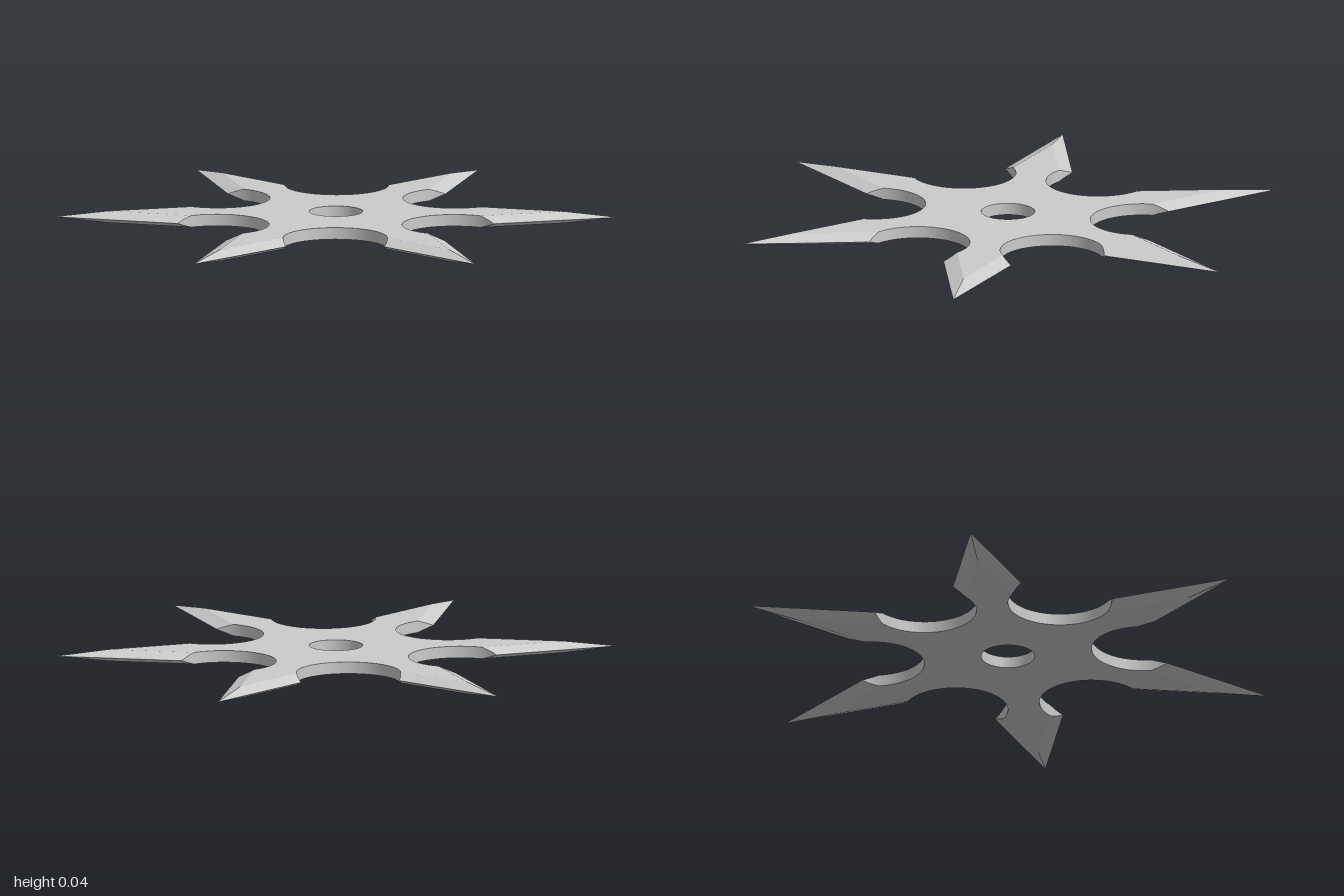
import * as THREE from 'three';
import { mergeGeometries } from 'three/addons/utils/BufferGeometryUtils.js';

const ARMS = 6;
const STEP = (Math.PI * 2) / ARMS;
const H = 0.021;            // half thickness
const NOTCH = 0.485;        // notch centre from the middle
const R = 0.1845;           // notch radius
const HOLE = 0.095;         // centre hole radius
const A_CORNER = 1.234;     // notch angle where the blade edge starts
const A_FLAT = Math.PI / 2; // notch angle where the flat face starts

const polar = (r, a) => new THREE.Vector2(r * Math.cos(a), r * Math.sin(a));
const onNotch = (a) => polar(R, a).add(new THREE.Vector2(NOTCH, 0));
const arc = (from, to, n, f = onNotch) =>
  Array.from({ length: n + 1 }, (_, i) => f(from + ((to - from) * i) / n));

// Blade edge runs from tip to corner; height grows with distance from it
const tip = polar(1, STEP / 2);
const corner = onNotch(A_CORNER);
const edge = corner.clone().sub(tip).normalize();
const edgeDistance = (p) => Math.abs(edge.cross(p.clone().sub(tip)));
const bevelWidth = edgeDistance(onNotch(A_FLAT));
const halfHeight = (p) =>
  H * Math.min(1, edgeDistance(new THREE.Vector2(p.x, Math.abs(p.y))) / bevelWidth);
const sinTip = Math.abs(edge.cross(tip));
const innerTip = polar(1 - bevelWidth / sinTip, STEP / 2);

// Flat star face with the centre hole
function faceGeometry() {
  const pts = [];
  for (let k = 0; k < ARMS; k++) {
    for (const p of [...arc(Math.PI * 2 - A_FLAT, A_FLAT, 32), innerTip]) {
      pts.push(p.clone().rotateAround(new THREE.Vector2(), k * STEP));
    }
  }
  const shape = new THREE.Shape(pts);
  shape.holes.push(new THREE.Path(arc(0, Math.PI * 2, 48, (a) => polar(HOLE, a)).slice(0, -1)));
  return new THREE.ShapeGeometry(shape).rotateX(-Math.PI / 2).translate(0, H, 0);
}

// Two sloping blade facets beside one notch
function bevelGeometry() {
  const outline = [innerTip, ...arc(A_FLAT, A_CORNER, 8)];
  const pos = [];
  for (const s of [1, -1]) {
    for (let i = 0; i < outline.length - 1; i++) {
      const tri = [tip, outline[i], outline[i + 1]];
      if (s < 0) tri.reverse();
      for (const p of tri) pos.push(p.x, halfHeight(p), -s * p.y);
    }
  }
  const g = new THREE.BufferGeometry();
  g.setAttribute('position', new THREE.Float32BufferAttribute(pos, 3));
  g.computeVertexNormals();
  return g;
}

// Upright wall along an arc, facing the arc's centre
function wallGeometry(points, height, centre) {
  const pos = [], nor = [], idx = [];
  points.forEach((p, i) => {
    const n = new THREE.Vector2(centre, 0).sub(p).normalize();
    for (const s of [1, -1]) {
      pos.push(p.x, s * height(p), -p.y);
      nor.push(n.x, 0, -n.y);
    }
    if (i < points.length - 1) {
      const t = 2 * i;
      idx.push(t, t + 2, t + 1, t + 1, t + 2, t + 3);
    }
  });
  const g = new THREE.BufferGeometry();
  g.setAttribute('position', new THREE.Float32BufferAttribute(pos, 3));
  g.setAttribute('normal', new THREE.Float32BufferAttribute(nor, 3));
  g.setIndex(idx);
  return g;
}

const aroundStar = (g) =>
  mergeGeometries(Array.from({ length: ARMS }, (_, k) => g.clone().rotateY(k * STEP)));

export function createModel() {
  const material = new THREE.MeshStandardMaterial({ color: 0xcccccc });
  const model = new THREE.Group();
  model.name = 'throwingStar';
  const add = (name, geometry) => {
    const mesh = new THREE.Mesh(geometry, material);
    mesh.name = name;
    model.add(mesh);
    return mesh;
  };

  // Upper and lower faces with their bevelled blades
  const face = faceGeometry();
  const bevels = aroundStar(bevelGeometry());
  add('topFace', face);
  add('topBladeBevels', bevels);
  add('bottomFace', face).rotation.x = Math.PI;
  add('bottomBladeBevels', bevels).rotation.x = Math.PI;

  // Curved walls between the arms and inside the hole
  const notchArc = [
    ...arc(A_CORNER, A_FLAT, 8),
    ...arc(A_FLAT, Math.PI * 2 - A_FLAT, 32).slice(1),
    ...arc(Math.PI * 2 - A_FLAT, Math.PI * 2 - A_CORNER, 8).slice(1),
  ];
  add('notchWalls', aroundStar(wallGeometry(notchArc, halfHeight, NOTCH)));
  const holeArc = arc(0, Math.PI * 2, 48, (a) => polar(HOLE, a));
  add('holeWall', wallGeometry(holeArc, () => H, 0));

  // Lay the star on the ground
  model.children.forEach((mesh) => { mesh.position.y = H; });
  return model;
}
